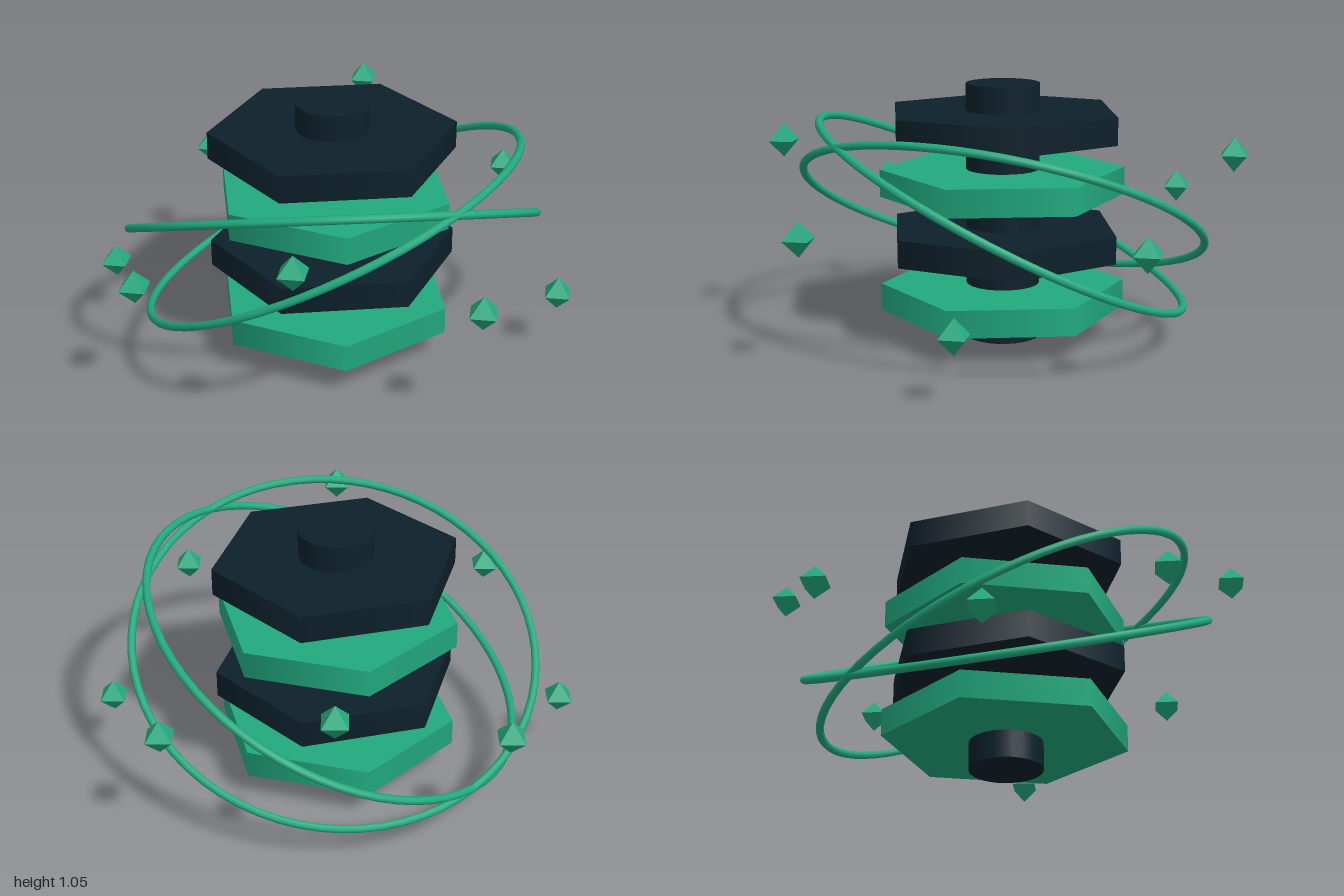
import * as THREE from 'three';

export function createModel() {
  const model = new THREE.Group();
  const green = new THREE.MeshStandardMaterial({ color: 0x22aa7e });
  green.name = 'emerald';
  const dark = new THREE.MeshStandardMaterial({ color: 0x0d212c });
  dark.name = 'dark navy';

  const HEIGHT = 1.05;
  const MID = HEIGHT / 2;

  const add = (name, geometry, material, x, y, z) => {
    const mesh = new THREE.Mesh(geometry, material);
    mesh.name = name;
    mesh.position.set(x, y, z);
    model.add(mesh);
    return mesh;
  };

  // Central column
  add('column', new THREE.CylinderGeometry(0.15, 0.15, HEIGHT, 24), dark, 0, MID, 0);

  // Hexagonal plates, alternating in colour and turned by 30 degrees
  const plate = new THREE.CylinderGeometry(0.5, 0.5, 0.112, 6);
  [0.169, 0.407, 0.645, 0.885].forEach((y, i) => {
    const odd = i % 2 === 1;
    const mesh = add(`hexPlate${i + 1}`, plate, odd ? dark : green, 0, y, 0);
    mesh.rotation.y = odd ? Math.PI / 6 : 0;
  });

  // Two tilted orbit rings, mirrored front to back
  const ring = new THREE.TorusGeometry(0.83, 0.0165, 8, 64);
  for (const side of [-1, 1]) {
    const mesh = add(side < 0 ? 'orbitRingA' : 'orbitRingB', ring, green, 0, MID, 0);
    mesh.rotation.set(Math.PI / 2 + side * Math.PI / 12, 0.4, 0);
  }

  // Eight floating crystals on a wave around the column
  const crystal = new THREE.OctahedronGeometry(0.07);
  for (let i = 0; i < 8; i++) {
    const a = (i * Math.PI) / 4;
    add(`crystal${i + 1}`, crystal, green,
      0.93 * Math.sin(a), MID + 0.2625 * Math.sin(2 * a), 0.93 * Math.cos(a));
  }

  return model;
}
